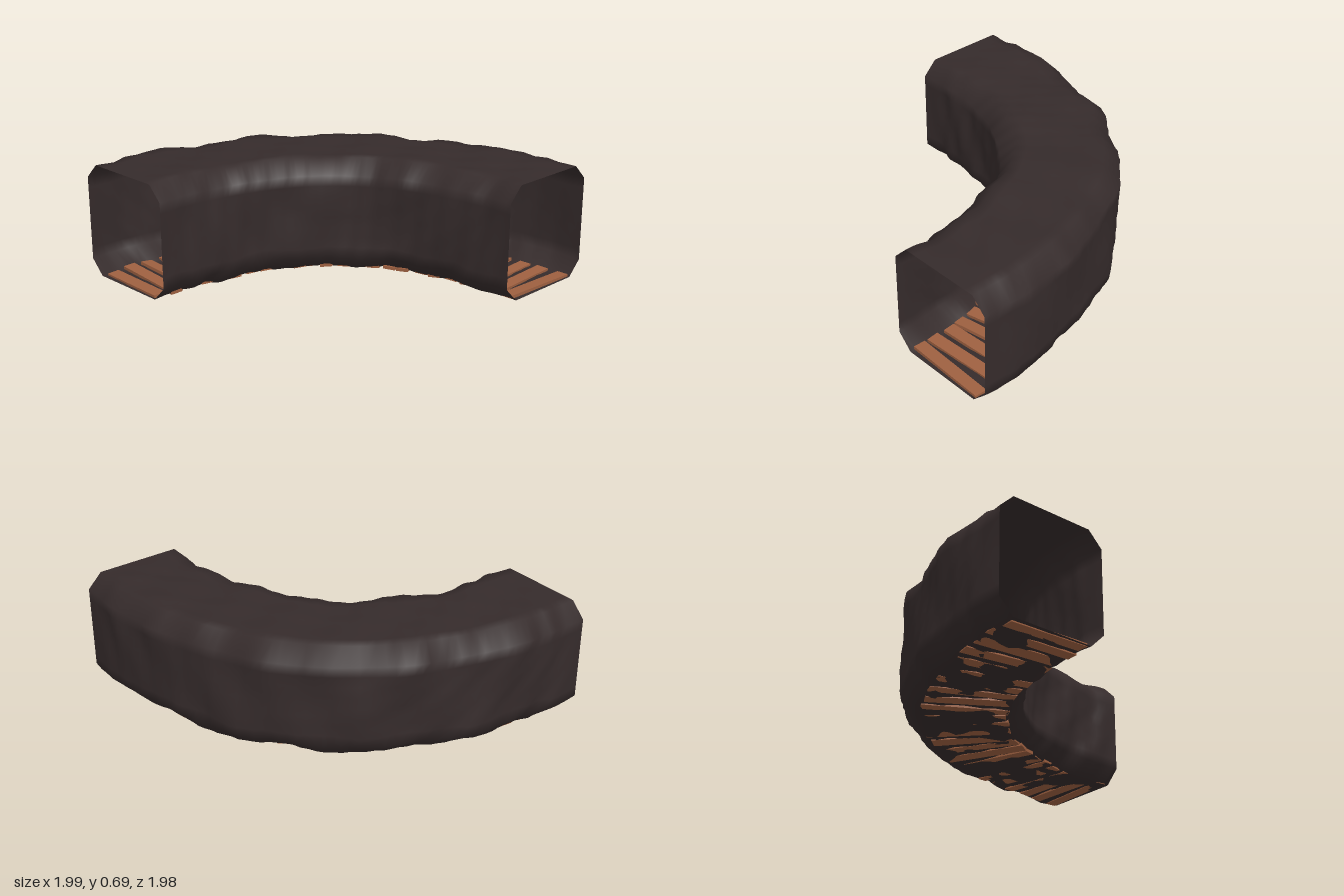
import * as THREE from 'three';

const rock = new THREE.MeshStandardMaterial({ color: 0x352b2b, side: THREE.DoubleSide });
rock.name = 'dark rock';
const wood = new THREE.MeshStandardMaterial({ color: 0x9e6040 });
wood.name = 'brown wood';

// Centre line of the bend, on the ground
const path = new THREE.QuadraticBezierCurve3(
  new THREE.Vector3(-1, 0, -0.64),
  new THREE.Vector3(0.64, 0, -0.64),
  new THREE.Vector3(0.64, 0, 1)
);

// Point on the path plus the horizontal direction to the outside of the bend
function frameAt(s) {
  const p = path.getPointAt(s);
  const t = path.getTangentAt(s);
  return { p, side: new THREE.Vector3(t.z, 0, -t.x) };
}

function seeded(seed) {
  let a = seed;
  return () => {
    a = (a * 16807) % 2147483647;
    return a / 2147483647;
  };
}

// Lumps in the rock, between -1 and 1
function lumps(x, y, z) {
  return 0.35 * Math.sin(9 * x + 5 * y + 4 * z + 1)
    + 0.25 * Math.sin(17 * z - 8 * y + 6 * x)
    + 0.2 * Math.sin(27 * x - 21 * z + 13 * y + 2)
    + 0.2 * Math.sin(41 * x + 19 * y + 3) * Math.sin(37 * z - 23 * y);
}

// Square section with cut corners, each flat side divided into steps
function sectionPoints() {
  const half = 0.33, flat = 0.245, steps = 8, pts = [];
  for (let k = 0; k < 4; k++) {
    const c = Math.round(Math.cos(k * Math.PI / 2));
    const s = Math.round(Math.sin(k * Math.PI / 2));
    for (let i = 0; i <= steps; i++) {
      const w = -flat + 2 * flat * i / steps;
      pts.push([c * half - s * w, s * half + c * w]);
    }
  }
  return pts;
}

// Open shell swept round the bend, smooth at both mouths
function tunnelGeometry() {
  const rings = 72, section = sectionPoints(), n = section.length;
  const pos = [], index = [];
  for (let i = 0; i <= rings; i++) {
    const s = i / rings;
    const { p, side } = frameAt(s);
    const fade = Math.min(1, 14 * s, 14 * (1 - s));
    for (const [u, v] of section) {
      const x = p.x + side.x * u, z = p.z + side.z * u, y = 0.345 + v;
      const d = lumps(x, y, z) * fade;
      const du = u + 0.01 * fade + (u / 0.33) * 0.027 * d;
      const dv = v + (v / 0.33) * 0.016 * d;
      pos.push(p.x + side.x * du, 0.345 + dv, p.z + side.z * du);
    }
  }
  for (let i = 0; i < rings; i++) {
    for (let j = 0; j < n; j++) {
      const a = i * n + j, b = i * n + (j + 1) % n;
      index.push(a, b, a + n, b, b + n, a + n);
    }
  }
  const g = new THREE.BufferGeometry();
  g.setAttribute('position', new THREE.Float32BufferAttribute(pos, 3));
  g.setIndex(index);
  g.computeVertexNormals();
  return g;
}

export function createModel() {
  const model = new THREE.Group();
  model.name = 'curvedTunnel';

  const shell = new THREE.Mesh(tunnelGeometry(), rock);
  shell.name = 'tunnelShell';
  model.add(shell);

  // Uneven floor boards laid across the path, half sunk in the rock
  const floor = new THREE.Group();
  floor.name = 'floorPlanks';
  const random = seeded(77);
  const jitter = (range) => range * (random() * 2 - 1);
  const count = 24;
  for (let i = 0; i < count; i++) {
    const { p, side } = frameAt((i + 0.5) / count);
    const plank = new THREE.Mesh(
      new THREE.BoxGeometry(0.48 + jitter(0.02), 0.018, 0.072), wood);
    plank.name = 'plank';
    plank.position.set(p.x, 0.023 + jitter(0.003), p.z);
    plank.rotation.set(jitter(0.1), Math.atan2(-side.z, side.x) + jitter(0.05), jitter(0.012), 'YXZ');
    floor.add(plank);
  }
  model.add(floor);
  return model;
}
